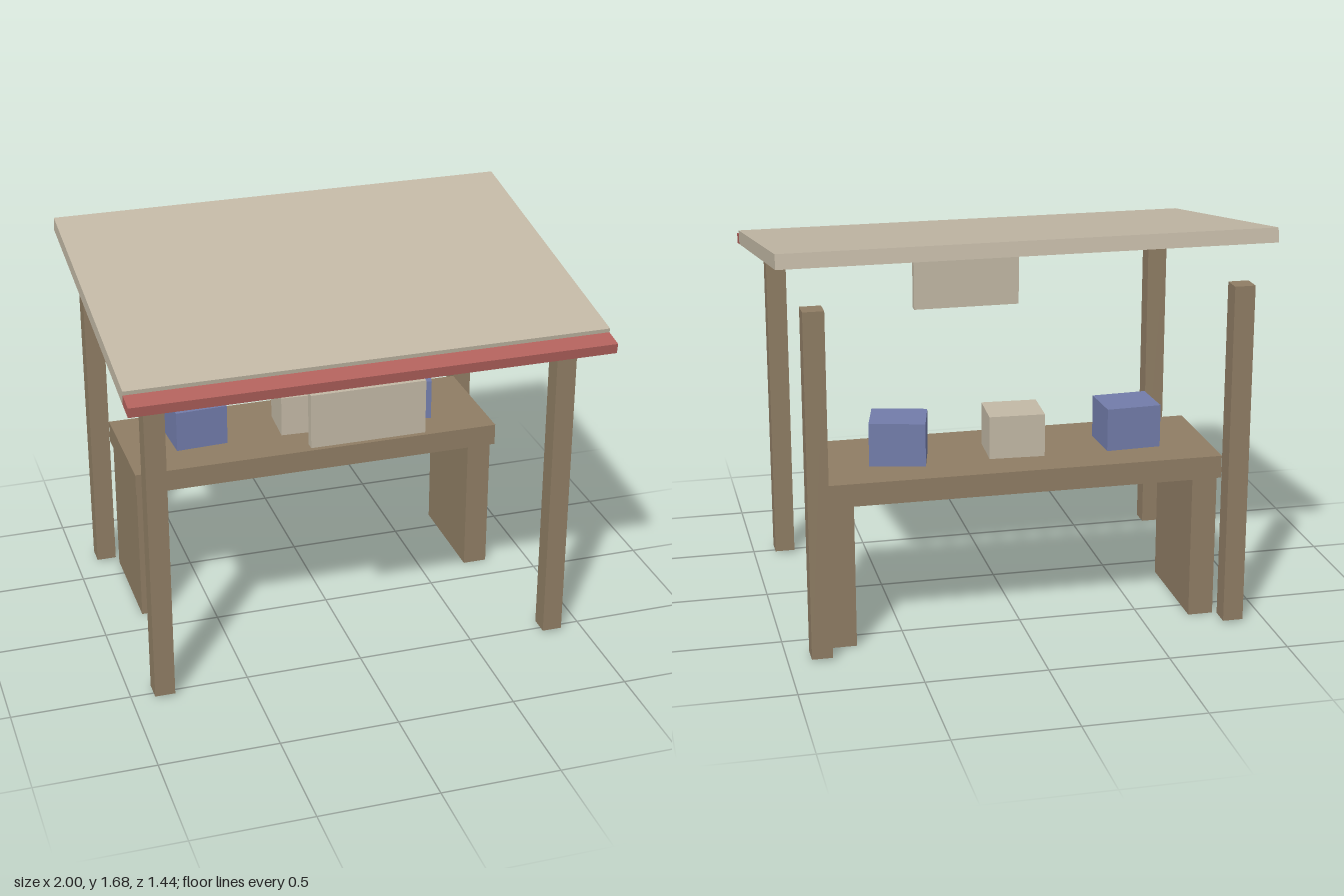
import * as THREE from 'three';

const material = (name, color) => {
  const m = new THREE.MeshStandardMaterial({ color });
  m.name = name;
  return m;
};

export function createModel() {
  const wood = material('brown wood', 0x8f7d64);
  const canvas = material('beige canvas', 0xc2b8a5);
  const blue = material('blue crate', 0x727caa);
  const red = material('red trim', 0xb2625d);

  const stall = new THREE.Group();
  stall.name = 'marketStall';

  // Box given by its size and centre
  const box = (name, mat, size, centre, parent = stall) => {
    const mesh = new THREE.Mesh(new THREE.BoxGeometry(...size), mat);
    mesh.name = name;
    mesh.position.set(...centre);
    parent.add(mesh);
    return mesh;
  };

  // Corner posts and counter supports, mirrored left and right
  for (const [side, s] of [['left', 1], ['right', -1]]) {
    box(side + 'FrontPost', wood, [0.085, 1.44, 0.085], [s * 0.863, 0.73, 0.5]);
    box(side + 'BackPost', wood, [0.085, 1.44, 0.085], [s * 0.863, 0.73, -0.677]);
    box(side + 'CounterSupport', wood, [0.105, 0.615, 0.48], [s * 0.758, 0.3075, -0.365]);
  }

  // Counter top
  box('counterTop', wood, [1.64, 0.095, 0.54], [0, 0.6625, -0.362]);

  // Hanging sign board
  box('signBoard', canvas, [0.48, 0.23, 0.04], [0, 1.195, 0.56]);

  // Goods on the counter, each turned a little
  const crates = [
    ['rightCrate', blue, -0.486, 0.05],
    ['middleCrate', canvas, 0, -0.05],
    ['leftCrate', blue, 0.48, -0.227],
  ];
  for (const [name, mat, x, turn] of crates) {
    box(name, mat, [0.23, 0.18, 0.2], [x, 0.8, -0.367]).rotation.y = turn;
  }

  // Sloping roof with a trim board set into its lower edge
  const roof = new THREE.Group();
  roof.name = 'roof';
  roof.position.set(0, 1.537, -0.02);
  roof.rotation.x = 0.16;
  stall.add(roof);
  box('roofPanel', canvas, [2, 0.06, 1.352], [0, 0, -0.015], roof);
  box('frontTrim', red, [1.998, 0.0435, 0.18], [0, -0.0093, 0.66], roof);

  return stall;
}
